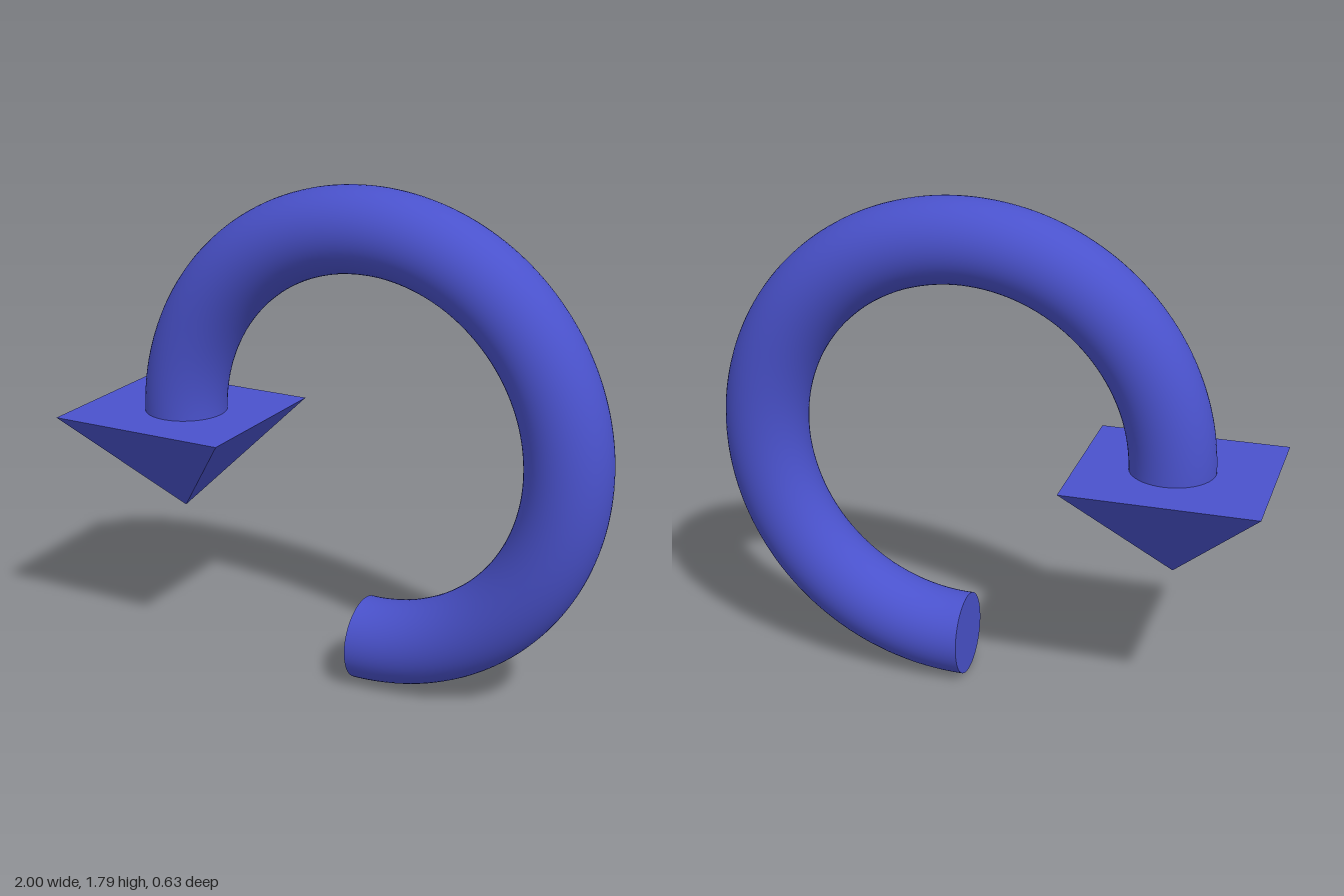
import * as THREE from 'three';

export function createModel() {
  const group = new THREE.Group();
  group.name = 'curvedArrow';
  const smooth = new THREE.MeshStandardMaterial({ color: 0x4a52cc });
  const flat = new THREE.MeshStandardMaterial({ color: 0x4a52cc, flatShading: true });

  const ringRadius = 0.747, tubeRadius = 0.15, overrun = 0.016;

  // Shaft: three quarters of a ring, running from the bottom round to the left
  const shaft = new THREE.Group();
  shaft.name = 'shaft';
  shaft.position.set(0.1, ringRadius + tubeRadius, 0);
  shaft.rotation.z = -Math.PI / 2 - overrun;
  group.add(shaft);

  const tube = new THREE.Mesh(
    new THREE.TorusGeometry(ringRadius, tubeRadius, 48, 144, Math.PI * 1.5 + overrun), smooth);
  tube.name = 'shaftTube';
  shaft.add(tube);

  // Flat disc closing the tail end
  const cap = new THREE.Mesh(new THREE.CircleGeometry(tubeRadius, 48).rotateX(Math.PI / 2), smooth);
  cap.name = 'tailCap';
  cap.position.x = ringRadius;
  shaft.add(cap);

  // Arrowhead: a four-sided pyramid pointing down
  const height = 0.381;
  const headGeometry = new THREE.ConeGeometry(Math.SQRT1_2, 1, 4)
    .rotateY(Math.PI / 4)
    .rotateX(Math.PI)
    .scale(0.676, height, 0.628);
  const head = new THREE.Mesh(headGeometry, flat);
  head.name = 'arrowHead';
  head.position.set(-0.662, 0.902 - height / 2, 0);
  group.add(head);

  return group;
}
